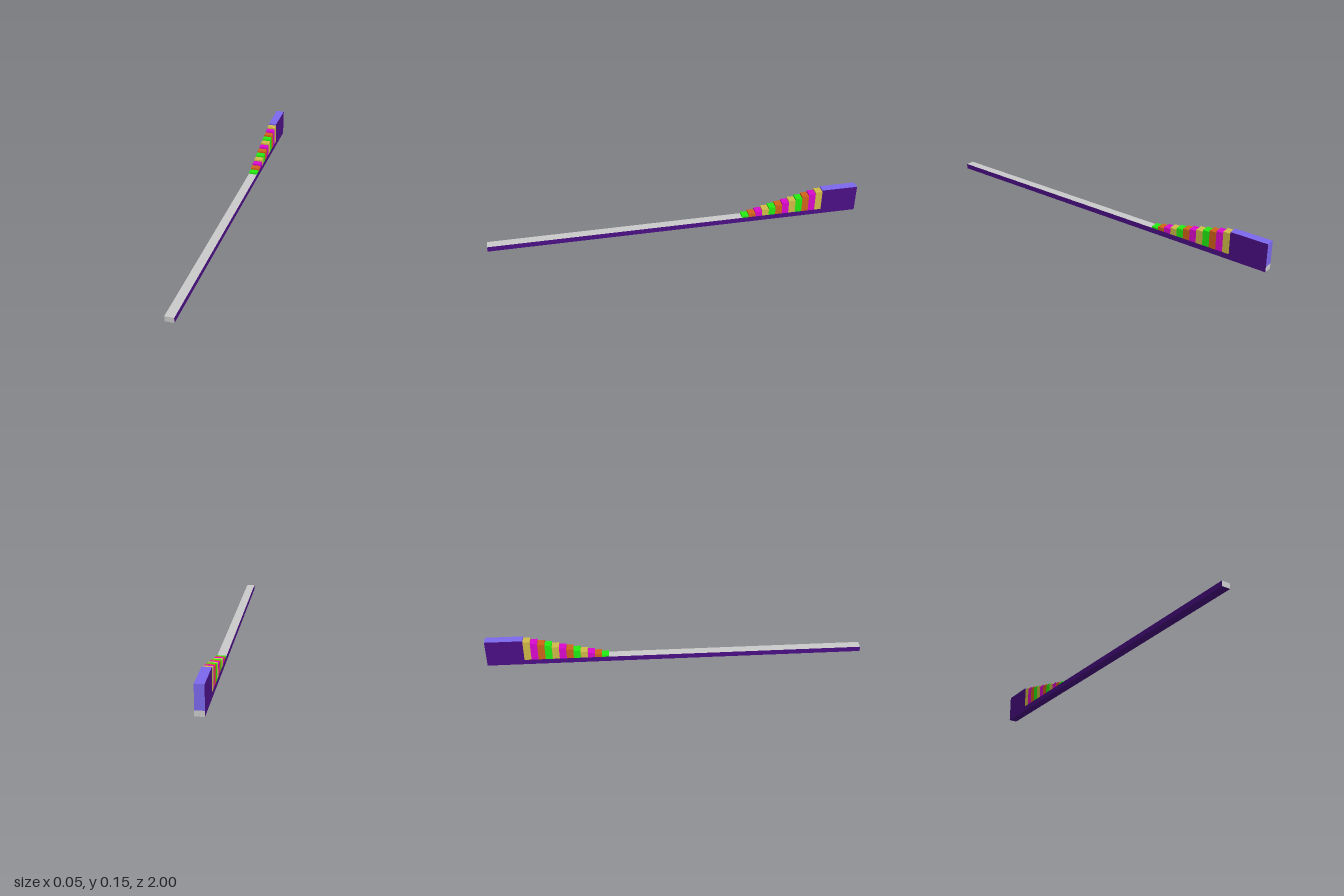
import * as THREE from 'three';

const WIDTH = 0.046, BASE_H = 0.028, TOP = 0.148;
const STEPS = 12, RAMP_START = -0.357, RAMP_END = -0.803;

const paint = (color) => new THREE.MeshStandardMaterial({ color });

// Box spanning the full width between the given heights and depths
function block(name, y0, y1, z0, z1, material) {
  const mesh = new THREE.Mesh(new THREE.BoxGeometry(WIDTH, y1 - y0, z1 - z0), material);
  mesh.position.set(0, (y0 + y1) / 2, (z0 + z1) / 2);
  mesh.name = name;
  return mesh;
}

export function createModel() {
  const model = new THREE.Group();
  model.name = 'steppedRunway';

  const grey = paint(0xcccccc);
  const indigo = paint(0x4b0f85);
  const lavender = paint(0x7b68ee);
  const stepPaints = [0x22ee11, 0xd2641a, 0xdd08d0, 0xd2bc48].map(paint);

  // Long strip: grey top and ends, indigo sides and underside
  model.add(block('baseStrip', 0, BASE_H, -1, 1, [indigo, indigo, grey, indigo, grey, grey]));

  // Raised platform at the back: lavender top and ends, indigo sides
  model.add(block('platform', BASE_H, TOP, -1, RAMP_END,
    [indigo, indigo, lavender, indigo, lavender, lavender]));

  // Staircase rising evenly from the strip to the platform
  const stairs = new THREE.Group();
  stairs.name = 'stairs';
  const rise = (TOP - BASE_H) / (STEPS + 1);
  const run = (RAMP_START - RAMP_END) / STEPS;
  for (let i = 0; i < STEPS; i++) {
    const front = RAMP_START - i * run;
    stairs.add(block(`step${i + 1}`, BASE_H, BASE_H + (i + 1) * rise,
      front - run, front, stepPaints[i % stepPaints.length]));
  }
  model.add(stairs);

  return model;
}
